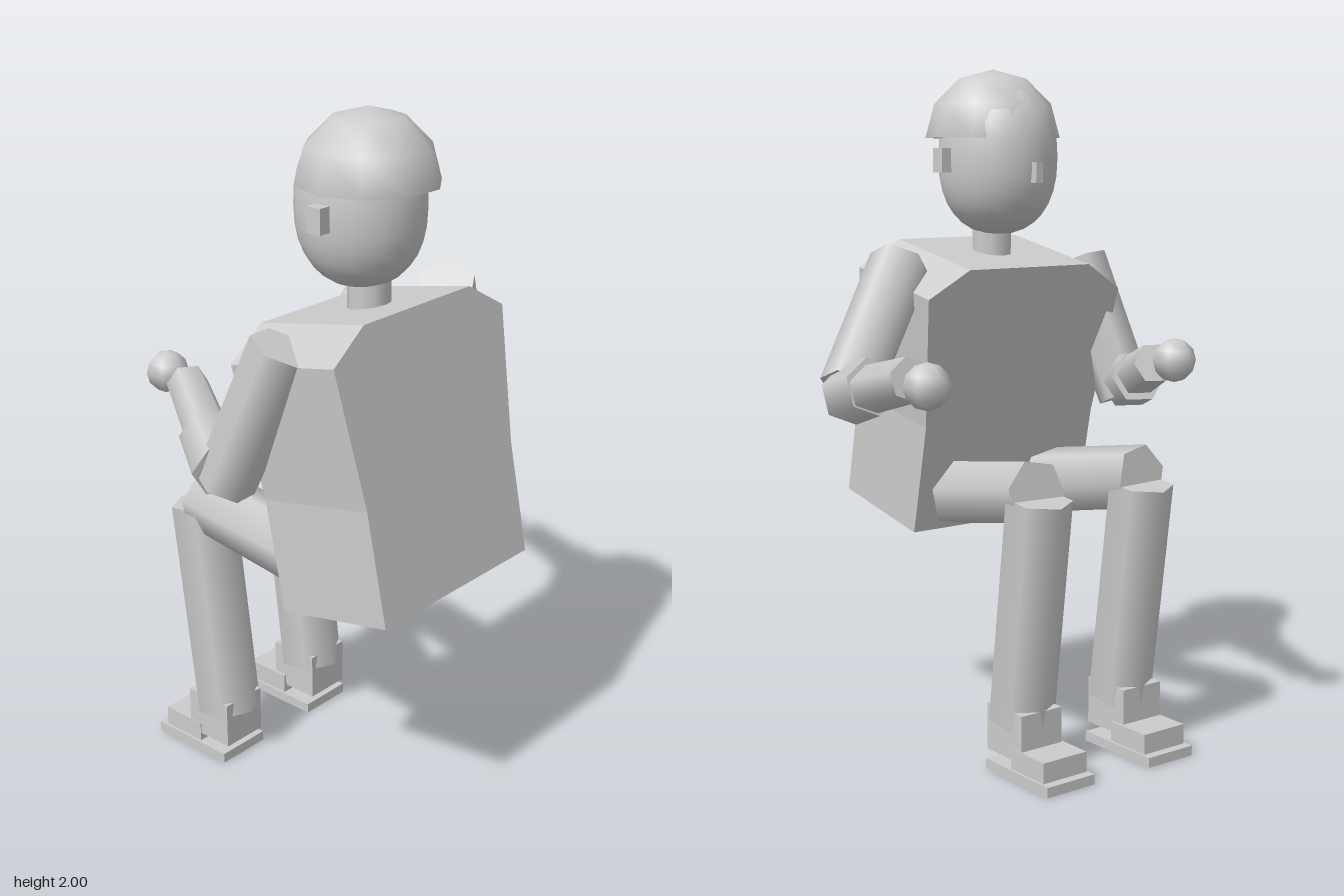
import * as THREE from 'three';

const CX = -0.1325; // body's plane of symmetry

export function createModel() {
  const model = new THREE.Group();
  model.name = 'seatedFigure';
  const grey = new THREE.MeshStandardMaterial({ color: 0xcccccc });
  grey.name = 'light grey';

  function add(name, geometry, x = 0, y = 0, z = 0) {
    const mesh = new THREE.Mesh(geometry, grey);
    mesh.name = name;
    mesh.position.set(x, y, z);
    model.add(mesh);
    return mesh;
  }

  // Box given by its low and high limits
  function box(name, [x0, x1], [y0, y1], [z0, z1]) {
    return add(name, new THREE.BoxGeometry(x1 - x0, y1 - y0, z1 - z0),
      (x0 + x1) / 2, (y0 + y1) / 2, (z0 + z1) / 2);
  }

  // Six-sided smooth limb running from a to b
  function limb(name, a, b, ra, rb, twist = 0) {
    const from = new THREE.Vector3(...a), to = new THREE.Vector3(...b);
    const dir = to.clone().sub(from);
    const geometry = new THREE.CylinderGeometry(rb, ra, dir.length(), 6);
    geometry.rotateY(twist);
    const mesh = add(name, geometry);
    mesh.position.copy(from).add(to).multiplyScalar(0.5);
    mesh.quaternion.setFromUnitVectors(new THREE.Vector3(0, 1, 0), dir.normalize());
    return mesh;
  }

  // Torso: shouldered outline extruded through its depth, leaning forward
  const half = [[0.3125, 0], [0.3125, 0.325], [0.353, 0.715], [0.22, 0.796]];
  const outline = [...half, ...half.slice().reverse().map(([x, y]) => [-x, y])];
  const torso = new THREE.ExtrudeGeometry(
    new THREE.Shape(outline.map(([x, y]) => new THREE.Vector2(x, y))),
    { depth: 0.37, bevelEnabled: false });
  torso.translate(0, 0, -0.37);
  torso.rotateX(-0.2);
  add('torso', torso, CX, 0.72, 0.508);
  box('pelvis', [-0.31, 0.04], [0.66, 0.8], [0.15, 0.425]);

  // Head: rounded egg, slightly deeper than wide
  const profile = [];
  for (let i = 0; i <= 16; i++) {
    const a = -Math.PI / 2 + (Math.PI * i) / 16;
    const r = i % 16 === 0 ? 0 : 0.175 * Math.pow(Math.cos(a), 0.87);
    profile.push(new THREE.Vector2(r, 0.225 * Math.sign(a) * Math.pow(Math.abs(Math.sin(a)), 0.87)));
  }
  const head = add('head', new THREE.LatheGeometry(profile, 24), CX, 1.742, 0.15);
  head.scale.z = 1.045;

  // Hair: coarse dome closed underneath
  const dome = new THREE.SphereGeometry(0.2, 10, 3, 0, Math.PI * 2, 0, Math.PI / 2);
  add('hair', dome, CX, 1.8, 0.175);
  const under = new THREE.CircleGeometry(0.2, 10);
  under.rotateX(Math.PI / 2);
  add('hairUnderside', under, CX, 1.8, 0.175);

  add('neck', new THREE.CylinderGeometry(0.06, 0.06, 0.16, 10), CX, 1.5, 0.18);
  box('nose', [CX - 0.012, CX + 0.012], [1.67, 1.73], [-0.05, 0.0]);

  // Mirrored parts: ears, legs and feet
  for (const [side, s] of [['left', 1], ['right', -1]]) {
    const X = (d) => CX + s * d;
    const span = (a, b) => [Math.min(X(a), X(b)), Math.max(X(a), X(b))];
    box(side + 'Ear', span(0.165, 0.206), [1.7, 1.77], [0.145, 0.19]);
    limb(side + 'Thigh', [X(0.148), 0.72, 0.315], [X(0.195), 0.825, -0.29],
      0.106, 0.095, s * 0.26);
    limb(side + 'Shin', [X(0.187), 0.143, -0.214], [X(0.19), 0.805, -0.295], 0.095, 0.095);
    box(side + 'Ankle', span(0.118, 0.262), [0.055, 0.195], [-0.31, -0.15]);
    box(side + 'Toe', span(0.11, 0.265), [0.03, 0.09], [-0.412, -0.265]);
    box(side + 'Sole', span(0.103, 0.273), [0, 0.03], [-0.44, -0.157]);
  }

  // Arms: upper arm, elbow cuff, forearm and hand, each posed differently
  const arms = {
    left: {
      shoulder: [0.2, 1.44, 0.18], elbow: [0.47, 1.115, 0.03],
      cuff: [[0.477, 1.1, 0.02], [0.495, 1.14, -0.13]],
      wrist: [0.537, 1.19, -0.375], hand: [0.538, 1.18, -0.447],
    },
    right: {
      shoulder: [-0.457, 1.425, 0.165], elbow: [-0.517, 1.015, 0.0],
      cuff: [[-0.525, 1.055, 0.0], [-0.435, 1.095, -0.15]],
      wrist: [-0.317, 1.165, -0.35], hand: [-0.32, 1.18, -0.427],
    },
  };
  for (const [side, p] of Object.entries(arms)) {
    limb(side + 'UpperArm', p.shoulder, p.elbow, 0.09, 0.085);
    limb(side + 'Cuff', p.cuff[0], p.cuff[1], 0.085, 0.08);
    limb(side + 'Forearm', p.cuff[0], p.wrist, 0.07, 0.06);
    const hand = add(side + 'Hand', new THREE.SphereGeometry(0.062, 6, 6), ...p.hand);
    hand.rotation.y = Math.PI / 2;
  }

  return model;
}
